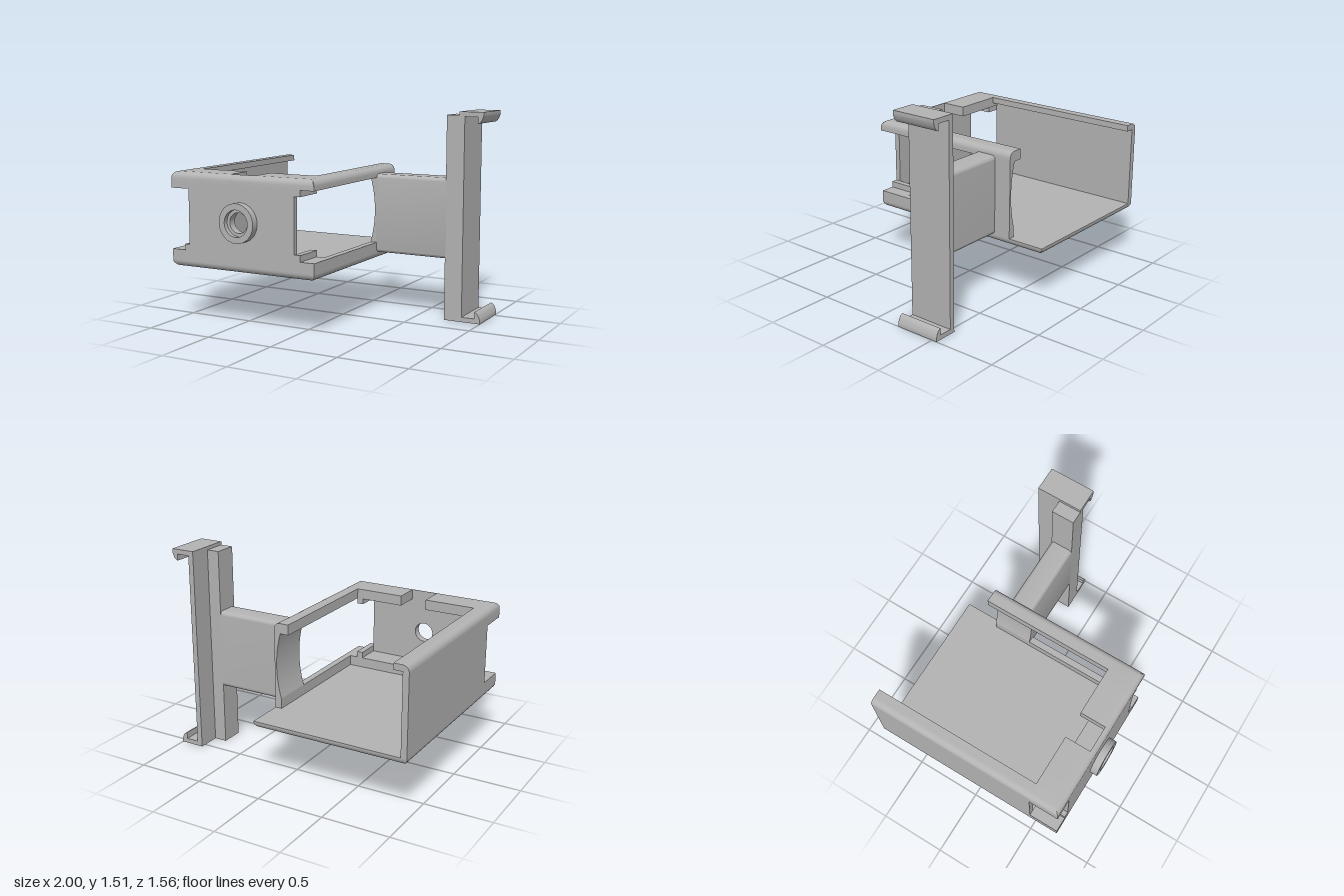
import * as THREE from 'three';
import { toCreasedNormals } from 'three/addons/utils/BufferGeometryUtils.js';

const R = 0.045; // fillet radius of the tray's outer edges
const TRAY = { x0: -1, x1: 0.175, y0: 0.4, y1: 1.085, z0: -0.78, z1: 0.725 };

export function createModel() {
  const model = new THREE.Group();
  model.name = 'phoneMountBracket';
  const grey = new THREE.MeshStandardMaterial({ color: 0xb3b3b3 });
  grey.name = 'plainGrey';

  function add(name, geometry) {
    const mesh = new THREE.Mesh(geometry, grey);
    mesh.name = name;
    model.add(mesh);
    return mesh;
  }

  // Plain block given by its limits
  function box(name, x0, x1, y0, y1, z0, z1) {
    const g = new THREE.BoxGeometry(x1 - x0, y1 - y0, z1 - z0);
    g.translate((x0 + x1) / 2, (y0 + y1) / 2, (z0 + z1) / 2);
    return add(name, g);
  }

  // Block whose corners follow the tray's filleted outer edges
  function trayBlock(name, x0, x1, y0, y1, z0, z1) {
    const n = 14;
    const g = new THREE.BoxGeometry(1, 1, 1, n, 1, n);
    const p = g.attributes.position;
    // gather the grid lines close to both ends
    const spread = (u, a, b) => {
      const i = Math.round((u + 0.5) * n), h = n / 2 - 1;
      const r = Math.min(R, (b - a) * 0.45);
      if (i <= h) return a + r * (1 - Math.cos((i / h) * Math.PI / 2));
      if (i >= n - h) return b - r * (1 - Math.cos(((n - i) / h) * Math.PI / 2));
      return (a + b) / 2;
    };
    for (let i = 0; i < p.count; i++) {
      const x = spread(p.getX(i), x0, x1);
      const z = spread(p.getZ(i), z0, z1);
      const top = p.getY(i) > 0;
      let y = top ? y1 : y0;
      const side = Math.max(0, TRAY.x0 + R - x, x - TRAY.x1 + R, z - TRAY.z1 + R);
      const low = Math.max(side, TRAY.z0 + R - z);
      const drop = d => R - Math.sqrt(Math.max(0, R * R - d * d));
      y = Math.min(y, TRAY.y1 - drop(side));
      y = Math.max(y, TRAY.y0 + drop(low));
      p.setXYZ(i, x, y, z);
    }
    return add(name, toCreasedNormals(g, 0.6));
  }

  // Outline in x and y, extruded from z0 to z1
  function profile(name, shape, z0, z1) {
    const g = new THREE.ExtrudeGeometry(shape, { depth: z1 - z0, bevelEnabled: false, curveSegments: 24 });
    g.translate(0, 0, z0);
    return add(name, toCreasedNormals(g, 0.6));
  }

  // Tray floor, left wall and its inward lip
  trayBlock('floor', -1, 0.175, 0.4, 0.45, -0.78, 0.725);
  box('leftWall', -1, -0.955, 0.445, 1.04, -0.78, 0.5);
  trayBlock('leftLip', -1, -0.89, 1.04, 1.085, -0.78, 0.5);

  // Right side: top and bottom rails, open between them
  trayBlock('rightTopRail', 0.06, 0.175, 1.01, 1.085, -0.5, 0.5);
  box('rightBottomRail', 0.125, 0.175, 0.445, 0.525, -0.5, 0.5);

  // Right wall beside the arm, hollowed by a shallow arc inside
  const web = new THREE.Shape();
  web.moveTo(0.125, 0.525);
  web.lineTo(0.175, 0.525);
  web.lineTo(0.175, 1.01);
  web.lineTo(0.125, 1.01);
  web.quadraticCurveTo(0.195, 0.7675, 0.125, 0.525);
  profile('rightWallWeb', web, -0.5, -0.2);

  // Front sill and front lip, the lip split by a notch
  box('frontSill', -1, 0.175, 0.445, 0.525, 0.5, 0.725);
  trayBlock('frontLipLeft', -1, -0.51, 1.01, 1.085, 0.49, 0.725);
  trayBlock('frontLipRight', -0.31, 0.175, 1.01, 1.085, 0.49, 0.725);
  trayBlock('frontLipBridge', -0.51, -0.31, 1.01, 1.085, 0.685, 0.725);

  // Guide ribs beside the corner windows
  box('leftTopRib', -1, -0.85, 0.967, 1.01, 0.5, 0.725);
  box('rightTopRib', 0.02, 0.067, 0.965, 1.01, 0.5, 0.725);
  box('leftBottomRib', -0.89, -0.85, 0.525, 0.568, 0.5, 0.725);
  box('rightBottomRib', 0.02, 0.067, 0.525, 0.57, 0.5, 0.725);

  // Front wall with a round hole
  const wall = new THREE.Shape();
  wall.moveTo(-0.85, 0.525);
  wall.lineTo(0.02, 0.525);
  wall.lineTo(0.02, 1.01);
  wall.lineTo(-0.85, 1.01);
  wall.closePath();
  const hole = new THREE.Path();
  hole.absarc(-0.414, 0.757, 0.072, 0, Math.PI * 2, true);
  wall.holes.push(hole);
  profile('frontWall', wall, 0.685, 0.725);

  // Stepped bushing around the hole
  const ring = [[0.14, 0], [0.14, 0.055], [0.095, 0.055], [0.095, 0.02], [0.072, 0.02], [0.072, 0]];
  const bushing = new THREE.LatheGeometry(ring.map(([r, y]) => new THREE.Vector2(r, y)), 48);
  bushing.rotateX(Math.PI / 2);
  bushing.translate(-0.414, 0.757, 0.725);
  add('bushing', toCreasedNormals(bushing, 0.6));

  // Arm with rounded long edges, extruded along x
  const arm = new THREE.Shape();
  const w = 0.085, h = 0.293, r = 0.03;
  arm.moveTo(-w + r, -h);
  arm.absarc(w - r, -h + r, r, -Math.PI / 2, 0, false);
  arm.absarc(w - r, h - r, r, 0, Math.PI / 2, false);
  arm.absarc(-w + r, h - r, r, Math.PI / 2, Math.PI, false);
  arm.absarc(-w + r, -h + r, r, Math.PI, Math.PI * 1.5, false);
  const armGeometry = new THREE.ExtrudeGeometry(arm, { depth: 0.56, bevelEnabled: false, curveSegments: 8 });
  armGeometry.rotateY(Math.PI / 2);
  armGeometry.translate(0.17, 0.743, -0.285);
  add('arm', toCreasedNormals(armGeometry, 0.6));

  // Upright clamp: narrow bar behind a wider plate
  box('clampBar', 0.725, 0.82, 0, 1.485, -0.37, -0.2);
  box('clampPlate', 0.82, 0.86, 0, 1.51, -0.54, -0.2);

  // Hooked jaws, the upper one mirrored from the lower
  for (const upper of [false, true]) {
    const y = v => (upper ? 1.51 - v : v);
    const jaw = new THREE.Shape();
    jaw.moveTo(0.86, y(0));
    jaw.lineTo(1, y(0));
    jaw.lineTo(1, y(0.025));
    jaw.quadraticCurveTo(0.985, y(0.08), 0.957, y(0.083));
    jaw.lineTo(0.957, y(0.035));
    jaw.lineTo(0.86, y(0.035));
    jaw.closePath();
    profile(upper ? 'upperJaw' : 'lowerJaw', jaw, -0.54, -0.2);
  }

  return model;
}
